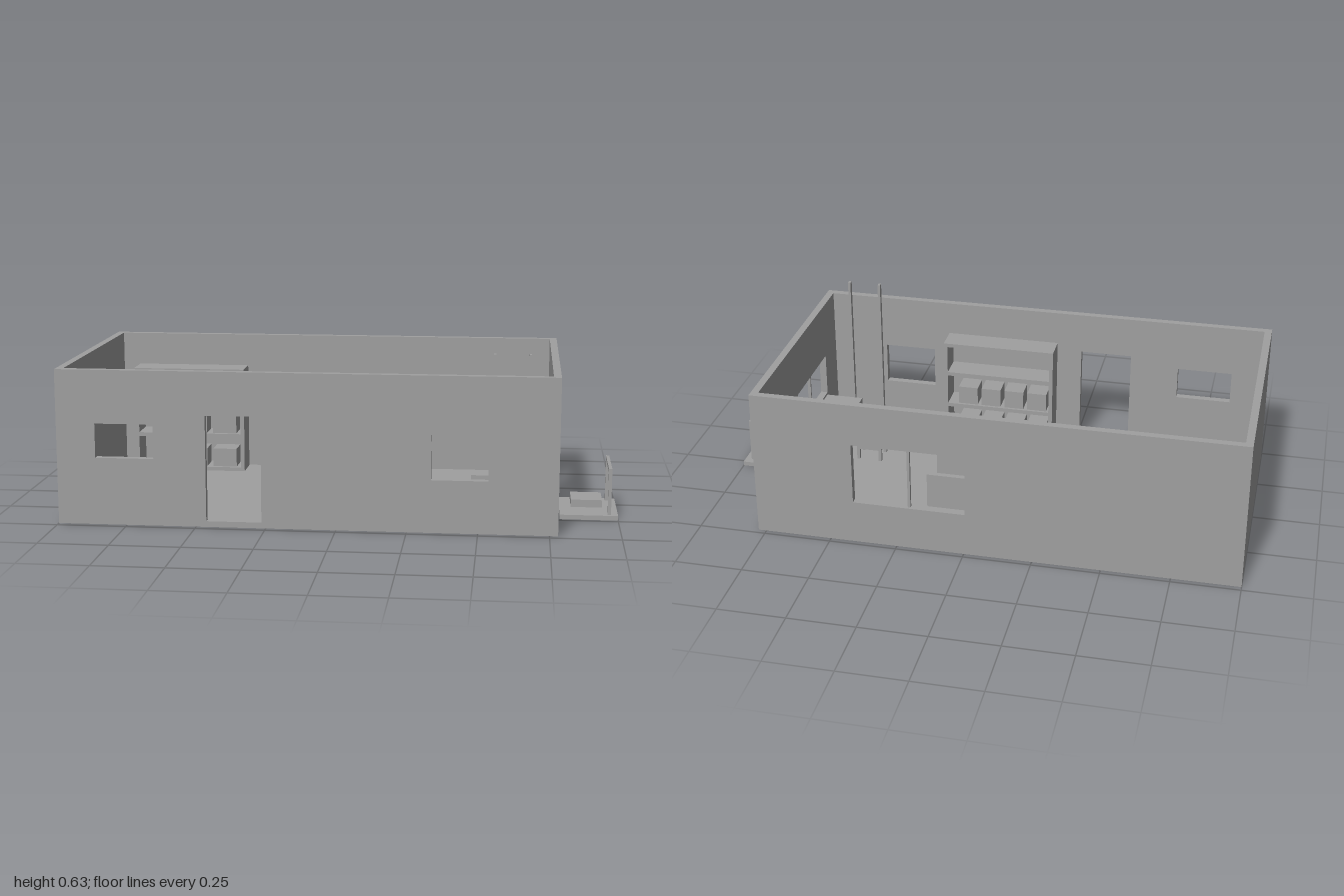
import * as THREE from 'three';

const grey = new THREE.MeshStandardMaterial({ color: 0xa0a0a0 });
grey.name = 'plain grey';

// Box given by its limits on each axis
function box(parent, name, x0, x1, y0, y1, z0, z1) {
  const mesh = new THREE.Mesh(new THREE.BoxGeometry(x1 - x0, y1 - y0, z1 - z0), grey);
  mesh.position.set((x0 + x1) / 2, (y0 + y1) / 2, (z0 + z1) / 2);
  mesh.name = name;
  parent.add(mesh);
  return mesh;
}

function group(parent, name) {
  const g = new THREE.Group();
  g.name = name;
  parent.add(g);
  return g;
}

const X0 = -1, X1 = 0.78, Z0 = -0.48, Z1 = 0.475, T = 0.027, FLOOR = 0.02, TOP = 0.56;

// Upright wall from u0 to u1 with rectangular openings [u0, u1, y0, y1]
function wall(parent, name, u0, u1, openings) {
  const rect = (P, a, b, c, d) => {
    const p = new P();
    p.moveTo(a, c);
    p.lineTo(b, c);
    p.lineTo(b, d);
    p.lineTo(a, d);
    p.closePath();
    return p;
  };
  const shape = rect(THREE.Shape, u0, u1, FLOOR, TOP);
  for (const o of openings) shape.holes.push(rect(THREE.Path, ...o));
  const mesh = new THREE.Mesh(
    new THREE.ExtrudeGeometry(shape, { depth: T, bevelEnabled: false }), grey);
  mesh.name = name;
  parent.add(mesh);
  return mesh;
}

// Four square legs inside a rectangle
function legs(parent, name, x0, x1, z0, z1, y1, s) {
  for (const x of [x0, x1 - s])
    for (const z of [z0, z1 - s]) box(parent, name, x, x + s, FLOOR, y1, z, z + s);
}

// Shelving unit with rows of boxes on its two lower boards
function shelving(parent, name, x0, x1, z0, z1, starts, boxWidth, boxZ0, boxZ1) {
  const g = group(parent, name);
  const t = 0.015;
  box(g, 'shelfSide', x0, x0 + t, FLOOR, 0.435, z0, z1);
  box(g, 'shelfSide', x1 - t, x1, FLOOR, 0.435, z0, z1);
  [0.02, 0.157, 0.295, 0.42].forEach((y, level) => {
    box(g, 'shelfBoard', x0 + t, x1 - t, y, y + t, z0, z1);
    if (level < 2)
      for (const x of starts)
        box(g, 'storedBox', x, x + boxWidth, y + t, y + t + 0.073, boxZ0, boxZ1);
  });
}

export function createModel() {
  const model = new THREE.Group();
  model.name = 'openRoofBuilding';

  // Shell
  const shell = group(model, 'shell');
  box(shell, 'floor', X0, X1, 0, FLOOR, Z0, Z1);
  wall(shell, 'frontWall', X0, X1, [
    [-0.86, -0.65, 0.243, 0.367],
    [-0.463, -0.265, FLOOR + 0.001, 0.403],
    [0.335, 0.535, 0.19, 0.352],
  ]).position.z = Z1 - T;
  wall(shell, 'backWall', X0, X1, [[-0.005, 0.41, 0.165, 0.4]]).position.z = Z0;
  const left = wall(shell, 'windowSideWall', -(Z1 - T), -(Z0 + T), [
    [-0.31, 0.045, 0.18, 0.345],
    [0.19, 0.39, FLOOR + 0.001, 0.4],
  ]);
  left.rotation.y = Math.PI / 2;
  left.position.x = X1 - T;
  box(shell, 'blankSideWall', X0, X0 + T, FLOOR, TOP, Z0 + T, Z1 - T);

  // Window centre bars
  box(shell, 'backWindowBar', 0.197, 0.207, 0.165, 0.4, Z0 + 0.008, Z0 + 0.02);
  box(shell, 'sideWindowBar', X1 - 0.02, X1 - 0.008, 0.18, 0.345, 0.129, 0.137);

  // Shelving
  shelving(model, 'backShelving', -0.905, -0.46, -0.445, -0.33,
    [-0.83, -0.71, -0.59], 0.095, -0.435, -0.345);
  shelving(model, 'frontShelving', -0.17, 0.27, 0.34, 0.44,
    [0.135, 0.042, -0.051, -0.144], 0.077, 0.35, 0.43);

  // Work table with machine, crate and two rods
  const table = group(model, 'workTable');
  box(table, 'tableTop', -0.225, 0.19, 0.065, 0.085, -0.355, -0.155);
  legs(table, 'tableLeg', -0.205, 0.17, -0.335, -0.175, 0.065, 0.027);
  box(table, 'crate', -0.175, -0.055, 0.085, 0.255, -0.32, -0.18);
  box(table, 'machineBase', -0.03, 0.175, 0.085, 0.22, -0.32, -0.18);
  box(table, 'machineHead', -0.01, 0.14, 0.22, 0.31, -0.3, -0.195);
  for (const z of [-0.342, -0.173])
    box(table, 'tableRod', -0.205, -0.195, 0.085, 0.26, z, z + 0.013);

  // Desk under the side window
  const desk = group(model, 'desk');
  box(desk, 'deskTop', 0.605, 0.752, 0.155, 0.172, -0.055, 0.305);
  for (const z of [-0.055, 0.29])
    box(desk, 'deskPanel', 0.605, 0.752, FLOOR, 0.155, z, z + 0.015);

  // Chair
  const chair = group(model, 'chair');
  box(chair, 'chairSeat', 0.465, 0.565, 0.065, 0.085, 0.08, 0.165);
  legs(chair, 'chairLeg', 0.465, 0.565, 0.08, 0.165, 0.065, 0.012);
  box(chair, 'chairBack', 0.465, 0.565, 0.085, 0.14, 0.158, 0.165);

  // Tall poles inside the front wall
  for (const x of [0.545, 0.667])
    box(model, 'tallPole', x, x + 0.01, FLOOR, 0.63, 0.408, 0.426);

  // Porch with step and railing
  const porch = group(model, 'porch');
  box(porch, 'porchDeck', 0.79, 1, 0, 0.017, -0.035, 0.235);
  box(porch, 'porchStep', 0.833, 0.947, 0.017, 0.045, -0.01, 0.115);
  for (const z of [-0.01, 0.208])
    box(porch, 'railPost', 0.963, 0.975, 0.017, 0.175, z, z + 0.012);
  box(porch, 'handRail', 0.963, 0.975, 0.175, 0.188, -0.01, 0.22);

  return model;
}
